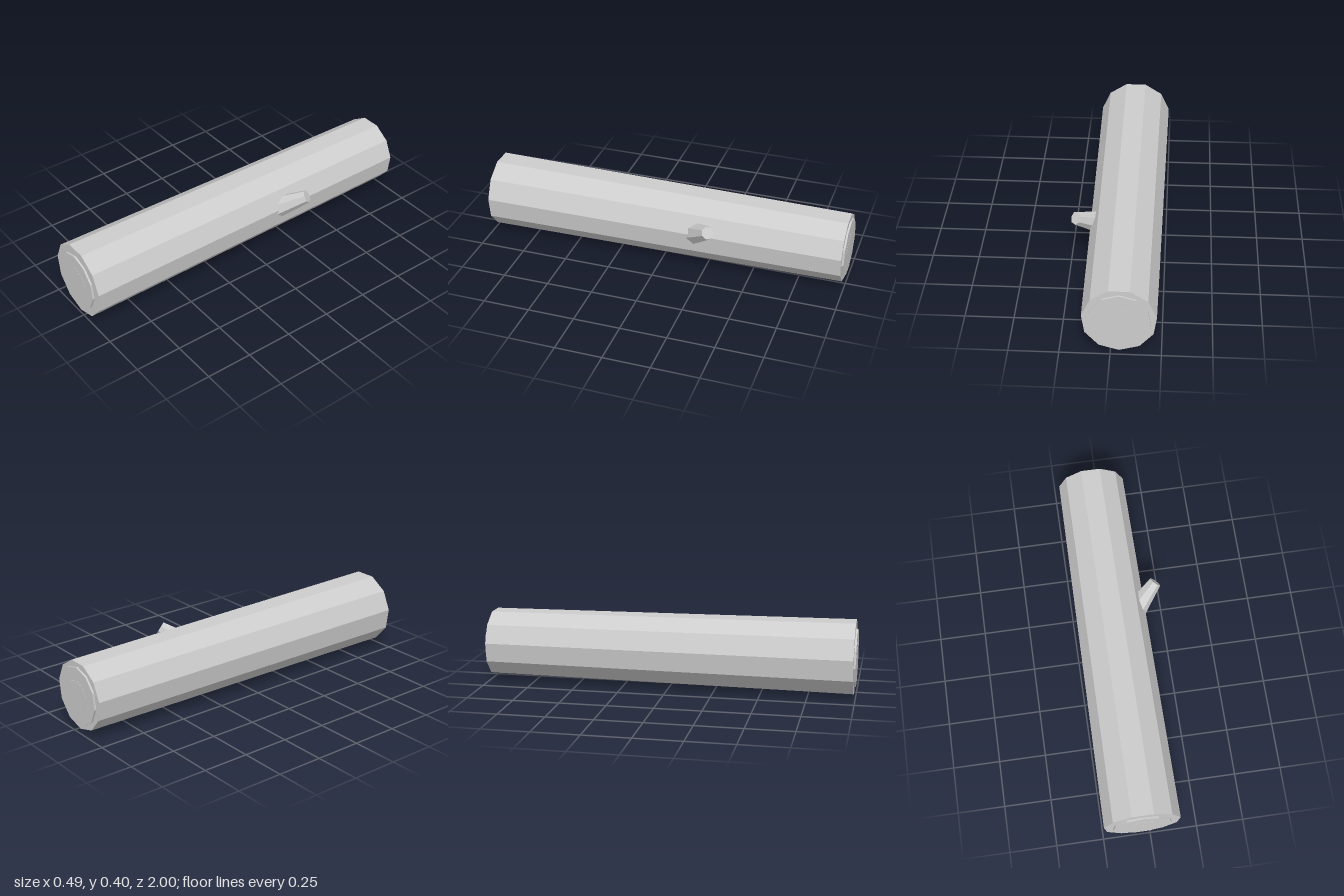
import * as THREE from 'three';

export function createModel() {
  const group = new THREE.Group();
  group.name = 'log';
  const grey = new THREE.MeshStandardMaterial({ color: 0xcccccc });
  grey.name = 'plain grey';
  const cx = -0.043, cy = 0.205;

  // Low-poly faceted part
  const add = (name, geometry) => {
    const flat = geometry.toNonIndexed();
    flat.computeVertexNormals();
    const mesh = new THREE.Mesh(flat, grey);
    mesh.name = name;
    group.add(mesh);
    return mesh;
  };

  // Tapered trunk lying along z, thicker at the front
  add('trunk', new THREE.CylinderGeometry(0.202, 0.184, 1.978, 11).rotateX(Math.PI / 2))
    .position.set(cx, cy, 0);

  // Raised cut faces and inner growth rings at both ends
  for (const [end, s] of [['front', 1], ['back', -1]]) {
    add(end + 'CutFace', new THREE.CylinderGeometry(0.155, 0.155, 0.02, 11).rotateX(-Math.PI / 2))
      .position.set(cx, cy, s * 0.989);
    add(end + 'InnerRing', new THREE.CylinderGeometry(0.084, 0.084, 0.02, 9).rotateX(-Math.PI / 2))
      .position.set(cx, cy, s * 0.99);
  }

  // Tapered branch stub on the left side, leaning up and back
  const tip = new THREE.Vector3(0.218, 0.31, -0.298);
  const axis = new THREE.Vector3(0.079, 0.06, -0.068).normalize();
  const side = new THREE.Vector3(0.01, 0.018, 0.0275);
  side.addScaledVector(axis, -side.dot(axis)).normalize();
  const length = 0.19;
  const stub = new THREE.CylinderGeometry(0.035, 0.062, length, 7).translate(0, -length / 2, 0);
  stub.applyMatrix4(new THREE.Matrix4().makeBasis(axis.clone().cross(side), axis, side));
  add('branchStub', stub).position.copy(tip);

  return group;
}
